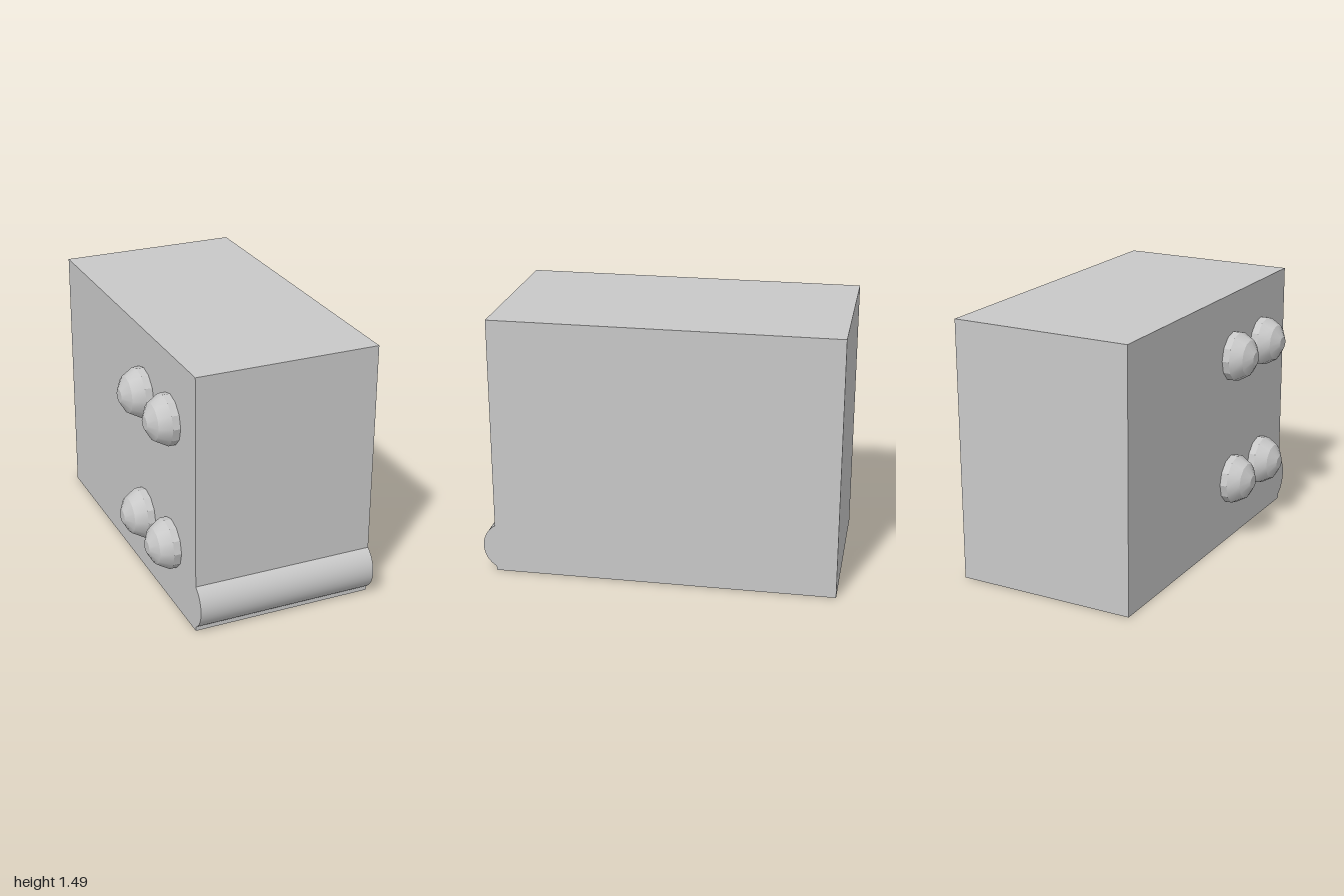
import * as THREE from 'three';
import { toCreasedNormals } from 'three/addons/utils/BufferGeometryUtils.js';

export function createModel() {
  const model = new THREE.Group();
  const grey = new THREE.MeshStandardMaterial({ color: 0xc8c8c8 });
  grey.name = 'light grey';

  const add = (name, geometry, x, y, z) => {
    const mesh = new THREE.Mesh(geometry, grey);
    mesh.name = name;
    mesh.position.set(x, y, z);
    model.add(mesh);
  };

  // Main block
  const left = 0.59, right = -0.45, height = 1.485;
  const width = left - right, centreX = (left + right) / 2;
  add('body', new THREE.BoxGeometry(width, height, 1.93), centreX, height / 2, -0.035);

  // Rounded bar along the lower front edge, mostly sunk into the block
  const bar = new THREE.CylinderGeometry(0.147, 0.147, width, 72).rotateZ(Math.PI / 2);
  add('frontBar', bar, centreX, 0.15, 0.853);

  // Twelve-sided domes with flat tips on the right side
  const radius = 0.147;
  const profile = [new THREE.Vector2(radius * Math.cos(Math.PI / 12), -0.038)];
  for (const degrees of [15, 45, 75]) {
    const a = THREE.MathUtils.degToRad(degrees);
    profile.push(new THREE.Vector2(radius * Math.cos(a), radius * Math.sin(a)));
  }
  profile.push(new THREE.Vector2(0, radius * Math.sin(Math.PI * 5 / 12)));
  const dome = toCreasedNormals(
    new THREE.LatheGeometry(profile, 12).rotateZ(Math.PI / 2),
    THREE.MathUtils.degToRad(28)
  );
  for (const y of [0.373, 1.118]) {
    for (const z of [0.223, 0.596]) add('sideDome', dome, -0.453, y, z);
  }

  return model;
}
